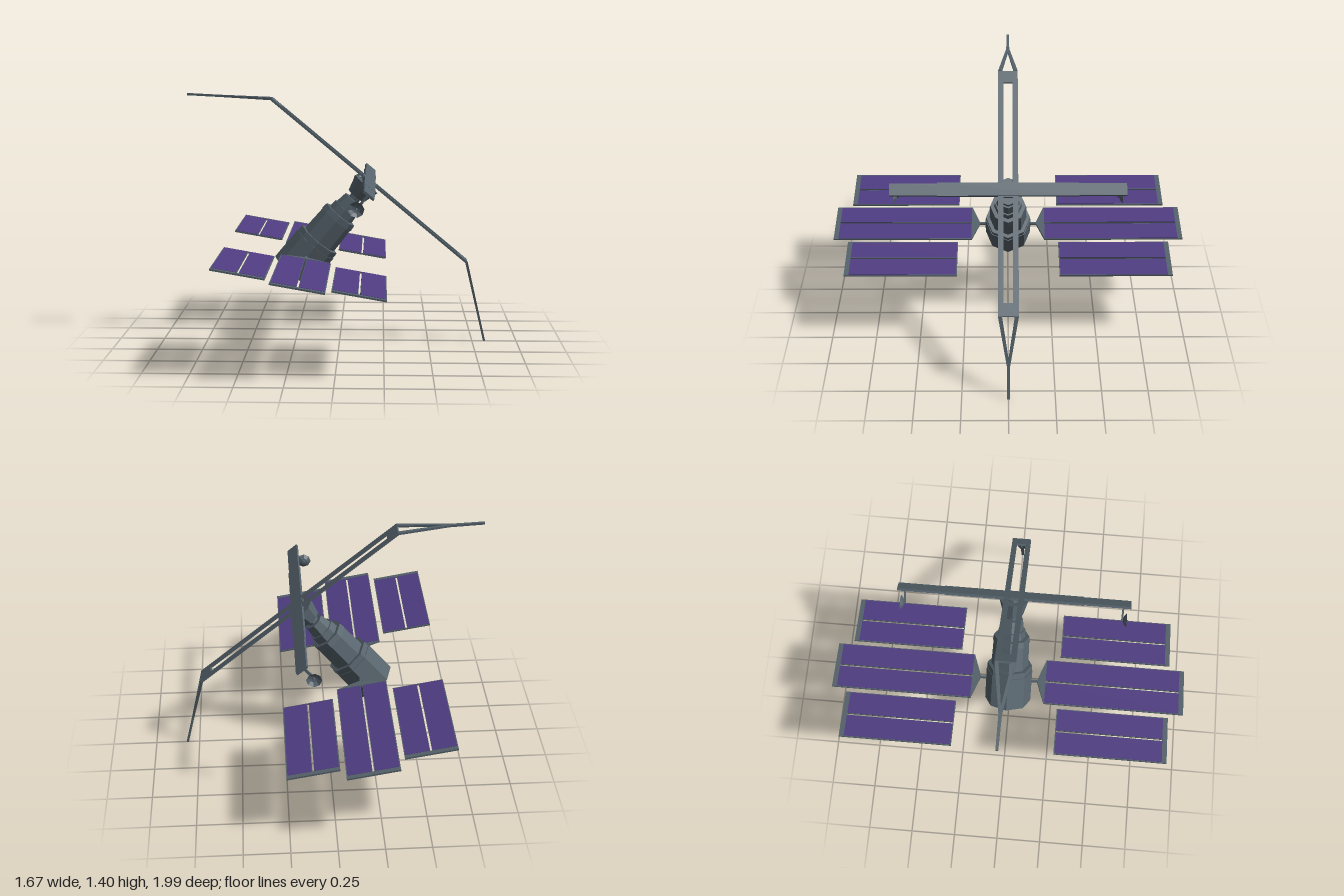
import * as THREE from 'three';

const mat = (color) => new THREE.MeshStandardMaterial({ color, flatShading: true });
const slate = mat(0x55626b);
const purple = mat(0x4f3c82);
const mauve = mat(0x7f687e);

function add(parent, name, geometry, material = slate, x = 0, y = 0, z = 0) {
  const mesh = new THREE.Mesh(geometry, material);
  mesh.name = name;
  mesh.position.set(x, y, z);
  parent.add(mesh);
  return mesh;
}

function group(parent, name) {
  const g = new THREE.Group();
  g.name = name;
  parent.add(g);
  return g;
}

// Flat plate from an outline in (x, z), centred on y = 0
function plate(points, thickness, holes = []) {
  const toPoints = (list) => list.map(([x, z]) => new THREE.Vector2(x, z));
  const shape = new THREE.Shape(toPoints(points));
  holes.forEach((h) => shape.holes.push(new THREE.Path(toPoints(h))));
  const g = new THREE.ExtrudeGeometry(shape, { depth: thickness, bevelEnabled: false });
  return g.rotateX(Math.PI / 2).translate(0, thickness / 2, 0);
}

const rect = (x0, x1, z0, z1) => [[x0, z0], [x1, z0], [x1, z1], [x0, z1]];

// One framed solar panel: two strips of cells with an open slit between them
function solarPanel(parent, x, z0, z1) {
  const panel = group(parent, 'solarPanel');
  panel.position.x = x;
  const half = 0.14, slit = 0.005, rim = 0.005, cap = 0.027;
  add(panel, 'panelFrame', plate(rect(-half, half, z0, z1), 0.009,
    [rect(-slit, slit, z0 + rim, z1 - cap)]));
  const w = half - rim - slit - 0.002, len = z1 - z0 - rim - cap;
  for (const s of [-1, 1]) {
    add(panel, 'solarCells', new THREE.BoxGeometry(w, 0.012, len), purple,
      s * (slit + 0.002 + w / 2), 0, z0 + rim + len / 2);
  }
}

export function createModel() {
  const model = new THREE.Group();
  model.name = 'satellite';

  // Everything on the tilted long axis; local y runs from nozzle to mast
  const craft = group(model, 'craft');
  craft.position.set(-0.264, 0.412, 0);
  craft.rotation.z = -0.6955;

  // Stepped octagonal body: name, bottom y, top y, bottom radius, top radius
  const stages = [
    ['lowerBody', 0, 0.2, 0.13, 0.13],
    ['lowerBand', 0.2, 0.235, 0.126, 0.126],
    ['middleBody', 0.235, 0.385, 0.105, 0.1],
    ['upperBand', 0.385, 0.42, 0.104, 0.1],
    ['upperBody', 0.42, 0.465, 0.078, 0.074],
    ['shoulder', 0.465, 0.532, 0.066, 0.056],
    ['neck', 0.532, 0.56, 0.032, 0.032],
    ['collar', 0.556, 0.645, 0.055, 0.08],
    ['mastMount', 0.645, 0.672, 0.035, 0.035],
  ];
  for (const [name, y0, y1, r0, r1] of stages) {
    add(craft, name, new THREE.CylinderGeometry(r1, r0, y1 - y0, 8), slate, 0, (y0 + y1) / 2, 0);
  }
  add(craft, 'nozzle', new THREE.CylinderGeometry(0.058, 0.048, 0.045, 8), mauve, 0, -0.0225, 0);

  // Slotted mast with forked, drooping tips
  const mast = group(craft, 'mast');
  mast.position.y = 0.672;
  add(mast, 'mastBar', plate(rect(-0.712, 0.712, -0.055, 0.055), 0.012,
    [rect(-0.64, -0.045, -0.025, 0.025), rect(0.045, 0.64, -0.025, 0.025)]));
  const fork = plate([[0, 0.055], [0.28, 0.009], [0.47, 0.007], [0.47, -0.007], [0.28, -0.009],
    [0, -0.055], [0, -0.034], [0.24, 0], [0, 0.034]], 0.012);
  for (const turn of [0, Math.PI]) {
    const side = group(mast, 'mastEnd');
    side.rotation.y = turn;
    add(side, 'forkedTip', fork, slate, 0.71, 0, 0).rotation.z = -0.645;
  }

  // Cross beam, wider in the middle
  add(mast, 'crossBeam', new THREE.BoxGeometry(0.07, 0.014, 1.29));
  add(mast, 'crossBeamCentre', new THREE.BoxGeometry(0.076, 0.016, 0.77));

  // Dish antennas facing outward under the beam ends
  for (const turn of [0, Math.PI]) {
    const antenna = group(mast, 'dishAntenna');
    antenna.rotation.y = turn;
    add(antenna, 'dishArm', new THREE.BoxGeometry(0.014, 0.1, 0.01), slate, 0, -0.05, 0.604);
    const dishMaterial = slate.clone();
    dishMaterial.side = THREE.DoubleSide;
    const profile = [[0.001, 0], [0.022, 0.005], [0.042, 0.02]].map((p) => new THREE.Vector2(...p));
    add(antenna, 'dish', new THREE.LatheGeometry(profile, 8), dishMaterial,
      0, -0.098, 0.608).rotation.x = Math.PI / 2;
    add(antenna, 'dishFeed', new THREE.ConeGeometry(0.008, 0.036, 6), slate,
      0, -0.098, 0.626).rotation.x = Math.PI / 2;
  }

  // Solar wings, three panels on each side of the body
  const wings = group(model, 'solarWings');
  wings.position.set(-0.18, 0.513, 0);
  wings.rotation.z = -0.174;
  for (const turn of [0, Math.PI]) {
    const wing = group(wings, 'solarWing');
    wing.rotation.y = turn;
    solarPanel(wing, 0, 0.205, 0.997);
    for (const x of [-0.308, 0.308]) solarPanel(wing, x, 0.285, 0.912);
    add(wing, 'wingBracket', plate([[-0.01, 0.163], [0.01, 0.163], [0.135, 0.206], [-0.135, 0.206]], 0.012));
    add(wing, 'wingStrut', new THREE.BoxGeometry(0.012, 0.012, 0.07), slate, 0, 0, 0.14);
  }

  return model;
}
